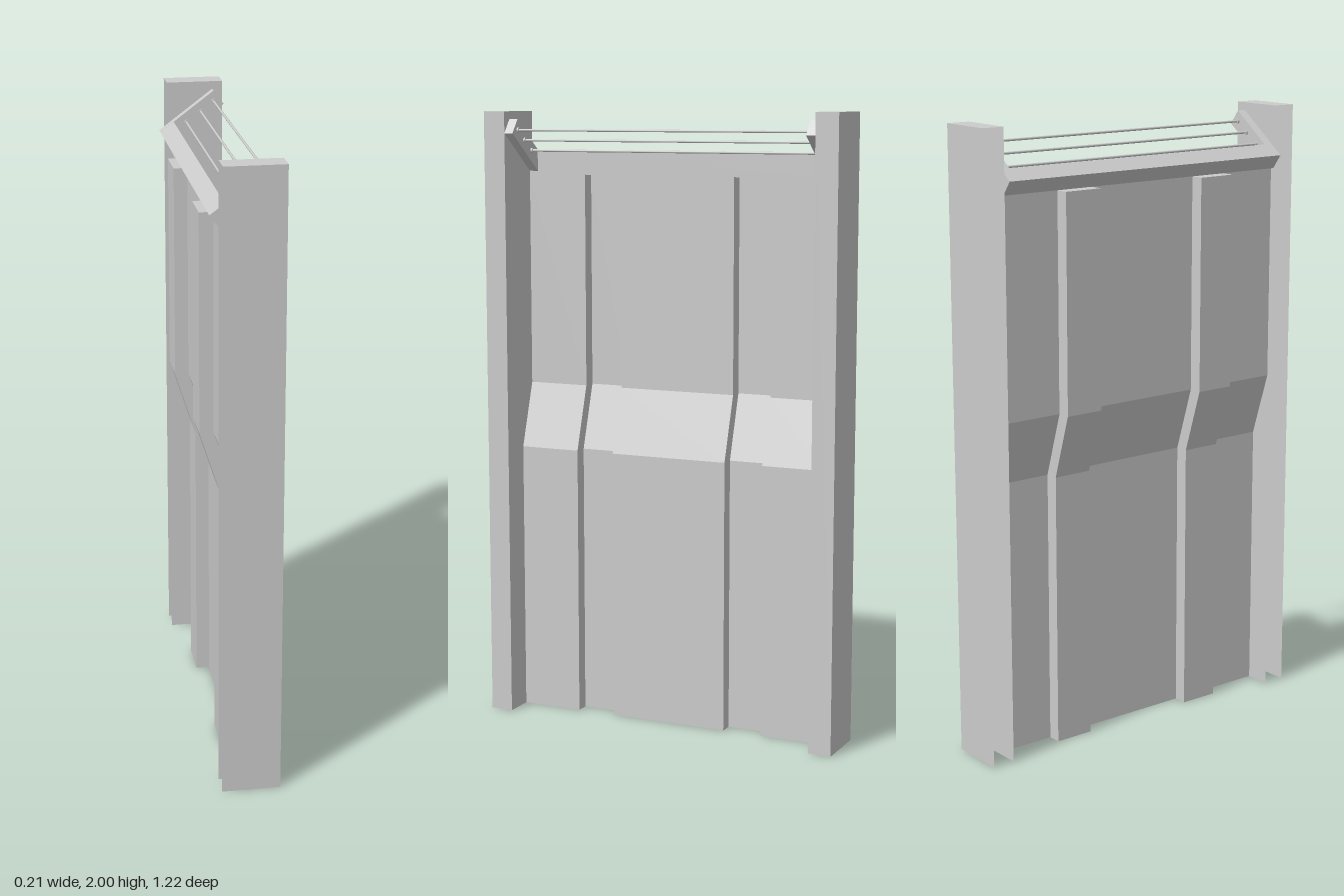
import * as THREE from 'three';

const sheetMat = new THREE.MeshStandardMaterial({ color: 0xcccccc, flatShading: true, side: THREE.DoubleSide });
const rodMat = new THREE.MeshStandardMaterial({ color: 0xcccccc });

// Folded sheet: rows of points, neighbouring rows joined by quads with hard edges
function sheet(name, rows) {
  const pos = [];
  for (let r = 0; r < rows.length - 1; r++) {
    for (let c = 0; c < rows[r].length - 1; c++) {
      const a = rows[r][c], b = rows[r + 1][c], d = rows[r + 1][c + 1], e = rows[r][c + 1];
      pos.push(...a, ...b, ...d, ...a, ...d, ...e);
    }
  }
  const g = new THREE.BufferGeometry();
  g.setAttribute('position', new THREE.Float32BufferAttribute(pos, 3));
  g.computeVertexNormals();
  const m = new THREE.Mesh(g, sheetMat);
  m.name = name;
  return m;
}

// Prism with an (x, y) outline running from z0 to z1
function prism(name, outline, z0, z1) {
  const shape = new THREE.Shape(outline.map(([x, y]) => new THREE.Vector2(x, y)));
  const g = new THREE.ExtrudeGeometry(shape, { depth: z1 - z0, bevelEnabled: false });
  g.translate(0, 0, z0);
  const m = new THREE.Mesh(g, sheetMat);
  m.name = name;
  return m;
}

function rod(name, radius, length, x, y, z, sides) {
  const m = new THREE.Mesh(new THREE.CylinderGeometry(radius, radius, length, sides), rodMat);
  m.rotation.x = Math.PI / 2;
  m.position.set(x, y, z);
  m.name = name;
  return m;
}

export function createModel() {
  const model = new THREE.Group();
  model.name = 'panelWithRods';

  const inner = 0.535, outer = 0.61, back = -0.08, front = 0.105, height = 2;
  const panelTop = 1.875, ribTop = 1.795, upperX = -0.062, ribDepth = 0.044;

  // Posts: channels open at the back and bottom, with a top cap
  for (const s of [1, -1]) {
    const cols = [[back, inner], [front, inner], [front, outer], [back, outer]];
    if (s < 0) cols.reverse();
    const post = new THREE.Group();
    post.name = s > 0 ? 'frontPost' : 'rearPost';
    post.add(sheet('postWalls', [0, height].map(y => cols.map(([x, z]) => [x, y, s * z]))));
    const [z0, z1] = s > 0 ? [inner, outer] : [-outer, -inner];
    post.add(sheet('postCap', [back, front].map(x => [[x, height, z1], [x, height, z0]]).reverse()));
    model.add(post);
  }

  // Panel: bent sheet with two vertical ribs pressed towards the back
  const profile = [[0.005, 0], [0.005, 0.89], [upperX, 1.1], [upperX, ribTop]];
  const half = [[0.2, 0], [0.2, ribDepth], [0.33, ribDepth], [0.33, 0], [inner, 0]];
  const section = [...half.map(([z, d]) => [-z, d]).reverse(), ...half];
  model.add(sheet('panel', profile.map(([x, y]) => section.map(([z, d]) => [x - d, y, z]))));
  model.add(sheet('panelTopBand', [ribTop, panelTop].map(y => [[upperX, y, -inner], [upperX, y, inner]])));
  for (const s of [1, -1]) {
    const z0 = Math.min(s * 0.2, s * 0.33), z1 = Math.max(s * 0.2, s * 0.33);
    model.add(sheet('ribCap', [upperX, upperX - ribDepth].map(x => [[x, ribTop, z0], [x, ribTop, z1]])));
  }

  // Slanted lip along the top edge of the panel
  model.add(prism('topLip', [[-0.107, 1.842], [-0.073, 1.797], [upperX, 1.805], [upperX, panelTop]], -inner, inner));

  // Slanted end brackets
  const bracket = [[-0.107, 1.842], [-0.073, 1.797], [0.105, 1.93], [0.071, 1.975]];
  model.add(prism('frontBracket', bracket, 0.505, inner));
  model.add(prism('rearBracket', bracket, -inner, -0.505));

  // Rods strung between the brackets, with a small collar at each end
  for (const [x, y] of [[-0.02, 1.873], [0.028, 1.907], [0.071, 1.94]]) {
    model.add(rod('rod', 0.004, 1.01, x, y, 0, 12));
    for (const s of [1, -1]) model.add(rod('rodCollar', 0.008, 0.006, x, y, s * 0.502, 12));
  }
  return model;
}
